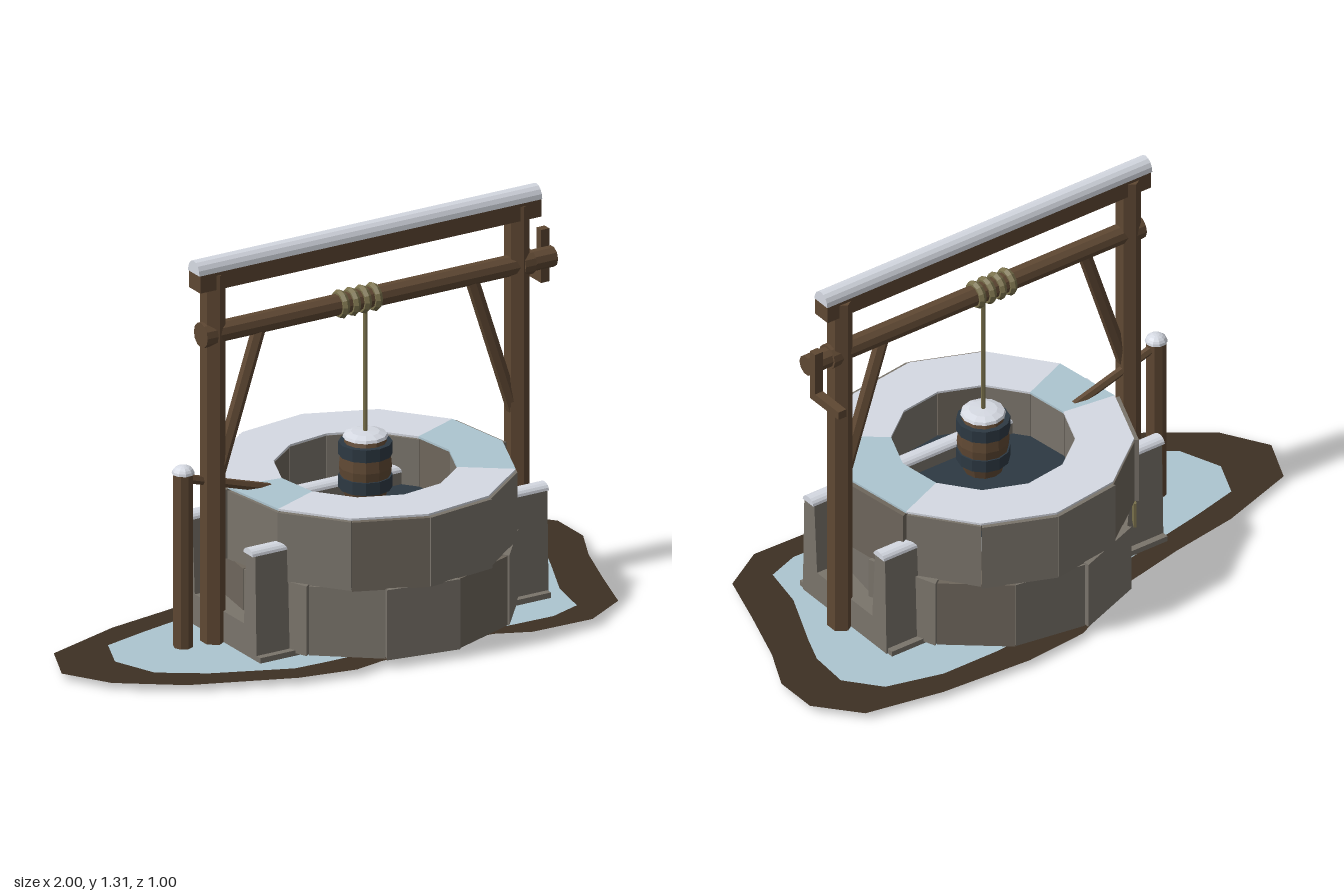
import * as THREE from 'three';

const mat = (name, color, extra = {}) => {
  const m = new THREE.MeshStandardMaterial({ color, flatShading: true, ...extra });
  m.name = name;
  return m;
};

export function createModel() {
  const wood = mat('wood', 0x5f4833);
  const stone = mat('stone', 0x7a746b);
  const darkStone = mat('dark stone', 0x6e665c);
  const snow = mat('snow', 0xd6dae3, { side: THREE.DoubleSide });
  const ice = mat('ice', 0xadc5d0, { side: THREE.DoubleSide });
  const iron = mat('iron and deep water', 0x2d3943, { side: THREE.DoubleSide });
  const dirt = mat('dirt', 0x3d3023, { side: THREE.DoubleSide });
  const rope = mat('rope', 0x7a714c);

  const model = new THREE.Group();
  model.name = 'well';
  const CX = 0.105, CZ = 0.012;

  const add = (name, geo, material, x = 0, y = 0, z = 0) => {
    const m = new THREE.Mesh(geo, material);
    m.name = name;
    m.position.set(x, y, z);
    model.add(m);
    return m;
  };
  const box = (name, material, x0, x1, y0, y1, z0, z1) =>
    add(name, new THREE.BoxGeometry(x1 - x0, y1 - y0, z1 - z0), material,
      (x0 + x1) / 2, (y0 + y1) / 2, (z0 + z1) / 2);
  // Bar with n sides running between two points
  const bar = (name, material, a, b, r, n = 8) => {
    const p = new THREE.Vector3(...a), q = new THREE.Vector3(...b);
    const d = q.clone().sub(p);
    const m = add(name, new THREE.CylinderGeometry(r, r, d.length(), n), material);
    m.position.copy(p).add(q).multiplyScalar(0.5);
    m.quaternion.setFromUnitVectors(new THREE.Vector3(0, 1, 0), d.normalize());
    return m;
  };
  // Half-round ridge of snow along x
  const ridge = (name, x0, x1, y, z, r, h) => {
    const g = new THREE.CylinderGeometry(r, r, x1 - x0, 8, 1, false, 0, Math.PI);
    g.rotateZ(Math.PI / 2);
    g.scale(1, h / r, 1);
    add(name, g, snow, (x0 + x1) / 2, y, z);
  };
  const outline = (pts) => pts.map(([x, z]) => new THREE.Vector2(x, -z));
  const flat = (name, shape, material, y, x = 0, z = 0) =>
    add(name, new THREE.ShapeGeometry(shape, 24).rotateX(-Math.PI / 2), material, x, y, z);

  // Ground: dirt rim around a frozen patch
  const rim = outline([[-1, 0], [-0.93, -0.16], [-0.66, -0.25], [-0.42, -0.29], [-0.2, -0.34], [0.08, -0.48],
    [0.3, -0.5], [0.62, -0.48], [0.885, -0.43], [1, -0.295], [1, -0.145], [0.93, 0], [0.86, 0.2], [0.8, 0.385],
    [0.65, 0.475], [0.435, 0.47], [0.32, 0.42], [0.1, 0.42], [-0.1, 0.435], [-0.2, 0.455], [-0.39, 0.42],
    [-0.72, 0.29], [-0.91, 0.15]]);
  const patch = outline([[-0.805, 0], [-0.75, -0.13], [-0.59, -0.17], [-0.4, -0.21], [-0.18, -0.26], [0.1, -0.38],
    [0.35, -0.4], [0.56, -0.4], [0.75, -0.35], [0.84, -0.24], [0.83, -0.1], [0.79, 0], [0.7, 0.2], [0.67, 0.35],
    [0.56, 0.39], [0.38, 0.385], [0.1, 0.35], [-0.24, 0.35], [-0.36, 0.345], [-0.61, 0.24], [-0.75, 0.145]]);
  const dirtShape = new THREE.Shape(rim);
  dirtShape.holes.push(new THREE.Path(patch));
  flat('dirtRim', dirtShape, dirt, 0.022);
  const iceShape = new THREE.Shape(patch);
  iceShape.holes.push(new THREE.Path().absellipse(CX, -CZ, 0.33, 0.3, 0, Math.PI * 2, true));
  flat('frozenGround', iceShape, ice, 0.022);
  const innerDirt = new THREE.Shape().absellipse(0, 0, 0.34, 0.31, 0, Math.PI * 2, false);
  innerDirt.holes.push(new THREE.Path().absellipse(0, 0, 0.27, 0.25, 0, Math.PI * 2, true));
  flat('innerDirt', innerDirt, dirt, 0.026, CX, CZ);

  // Well wall: two staggered courses of wedge blocks, the upper one capped with snow
  const sector = (k, offset, r0, r1, gap) => {
    const a = THREE.MathUtils.degToRad(offset + 30 * k + gap);
    const b = THREE.MathUtils.degToRad(offset + 30 * (k + 1) - gap);
    const p = (r, t) => [r * Math.sin(t), r * Math.cos(t)];
    return new THREE.Shape(outline([p(r0, a), p(r1, a), p(r1, b), p(r0, b)]));
  };
  const course = (name, offset, y0, y1, seed) => {
    for (let k = 0; k < 12; k++) {
      const wobble = 0.008 * Math.sin(k * 2.4 + seed);
      const g = new THREE.ExtrudeGeometry(sector(k, offset, 0.29, 0.478 + wobble, 0.2),
        { depth: y1 - y0 + wobble * 0.3, bevelEnabled: false });
      g.rotateX(-Math.PI / 2);
      add(name, g, (k + seed) % 4 === 0 ? darkStone : stone, CX, y0, CZ);
    }
  };
  course('lowerStone', 6, 0.03, 0.262, 0);
  course('upperStone', -7, 0.26, 0.489, 1);
  for (let k = 0; k < 12; k++) {
    const g = new THREE.ExtrudeGeometry(sector(k, -7, 0.287, 0.47, 0), { depth: 0.007, bevelEnabled: false });
    add('wallSnow', g.rotateX(-Math.PI / 2), [2, 3, 9].includes(k) ? ice : snow, CX, 0.492, CZ);
  }
  flat('water', new THREE.Shape().absarc(0, 0, 0.3, 0, Math.PI * 2), iron, 0.33, CX, CZ);
  const plate = add('wallPlate', new THREE.BoxGeometry(0.06, 0.09, 0.009), rope, CX - 0.415, 0.18, CZ - 0.228);
  plate.rotation.y = Math.atan2(-0.42, -0.23);

  // U-shaped stone piers on both sides, with snow-topped rails through the well
  const u = new THREE.Shape([[-0.22, 0.02], [0.22, 0.02], [0.212, 0.375], [0.16, 0.375], [0.145, 0.125],
    [-0.145, 0.125], [-0.16, 0.375], [-0.212, 0.375]].map((p) => new THREE.Vector2(...p)));
  for (const s of [-1, 1]) {
    const g = new THREE.ExtrudeGeometry(u, { depth: 0.13, bevelEnabled: false }).rotateY(Math.PI / 2);
    add('pier', g, stone, s < 0 ? -0.43 : 0.51, 0, CZ);
    // Open footing frame under each pier
    const x0 = s < 0 ? -0.43 : 0.35, x1 = x0 + 0.285;
    for (const t of [-1, 1]) box('footing', stone, x0, x1, 0.015, 0.04, CZ + t * 0.23 - 0.012, CZ + t * 0.23 + 0.012);
    for (const x of [x0, x1 - 0.02]) box('footing', stone, x, x + 0.02, 0.015, 0.04, CZ - 0.24, CZ + 0.24);
    const z = CZ + s * 0.186;
    box('rail', stone, -0.42, 0.63, 0.32, 0.374, z - 0.026, z + 0.026);
    ridge('railSnow', -0.44, 0.645, 0.37, z, 0.028, 0.022);
  }

  // Timber frame: posts, braces, top beam
  for (const s of [-1, 1]) {
    const x = CX + s * 0.557;
    const post = new THREE.CylinderGeometry(0.043, 0.043, 1.255, 6).scale(0.9, 1, 1);
    add('post', post, wood, x, 0.6275, CZ - 0.004);
    bar('brace', wood, [CX + s * 0.545, 0.56, CZ], [CX + s * 0.385, 1.05, CZ], 0.022, 6);
  }
  box('topBeam', wood, -0.52, 0.73, 1.208, 1.268, CZ - 0.033, CZ + 0.033);
  ridge('beamSnow', -0.524, 0.732, 1.266, CZ, 0.034, 0.042);

  // Windlass with crank and wound rope
  bar('windlass', wood, [-0.49, 1.053, CZ], [0.79, 1.053, CZ], 0.034, 10);
  for (const x of [-0.478, 0.688]) bar('windlassCollar', wood, [x - 0.02, 1.053, CZ], [x + 0.02, 1.053, CZ], 0.041, 12);
  box('crankArm', wood, 0.77, 0.8, 0.955, 1.132, -0.05, -0.022);
  box('crankHandle', wood, 0.77, 0.8, 0.955, 0.983, -0.173, -0.04);
  for (let i = 0; i < 4; i++) {
    const g = new THREE.TorusGeometry(0.033, 0.014, 6, 12).rotateY(Math.PI / 2);
    add('ropeCoil', g, rope, 0.013 + i * 0.04, 1.053, CZ);
  }
  bar('rope', rope, [CX, 0.58, CZ], [CX, 1.04, CZ], 0.007, 6);

  // Hanging barrel with iron hoops and a snow cap
  const lathe = (pts, n = 12) => new THREE.LatheGeometry(pts.map((p) => new THREE.Vector2(...p)), n);
  add('barrel', lathe([[0, 0.385], [0.062, 0.385], [0.077, 0.44], [0.083, 0.495], [0.077, 0.55], [0.062, 0.592], [0, 0.592]]),
    wood, CX, 0, CZ);
  for (const y of [0.445, 0.555]) add('hoop', new THREE.CylinderGeometry(0.085, 0.085, 0.042, 12), iron, CX, y, CZ);
  add('barrelSnow', lathe([[0, 0.59], [0.072, 0.592], [0.068, 0.601], [0.045, 0.609], [0, 0.612]]), snow, CX, 0, CZ);

  // Short side post with snow cap and a leaning pole
  bar('sidePost', wood, [-0.555, 0.018, 0], [-0.555, 0.605, 0], 0.032, 8);
  const cap = new THREE.SphereGeometry(0.036, 10, 5, 0, Math.PI * 2, 0, Math.PI / 2).scale(1, 0.75, 1);
  add('sidePostSnow', cap, snow, -0.555, 0.6, 0);
  bar('leaningPole', wood, [-0.55, 0.582, 0], [-0.23, 0.484, 0], 0.015, 6);

  return model;
}
